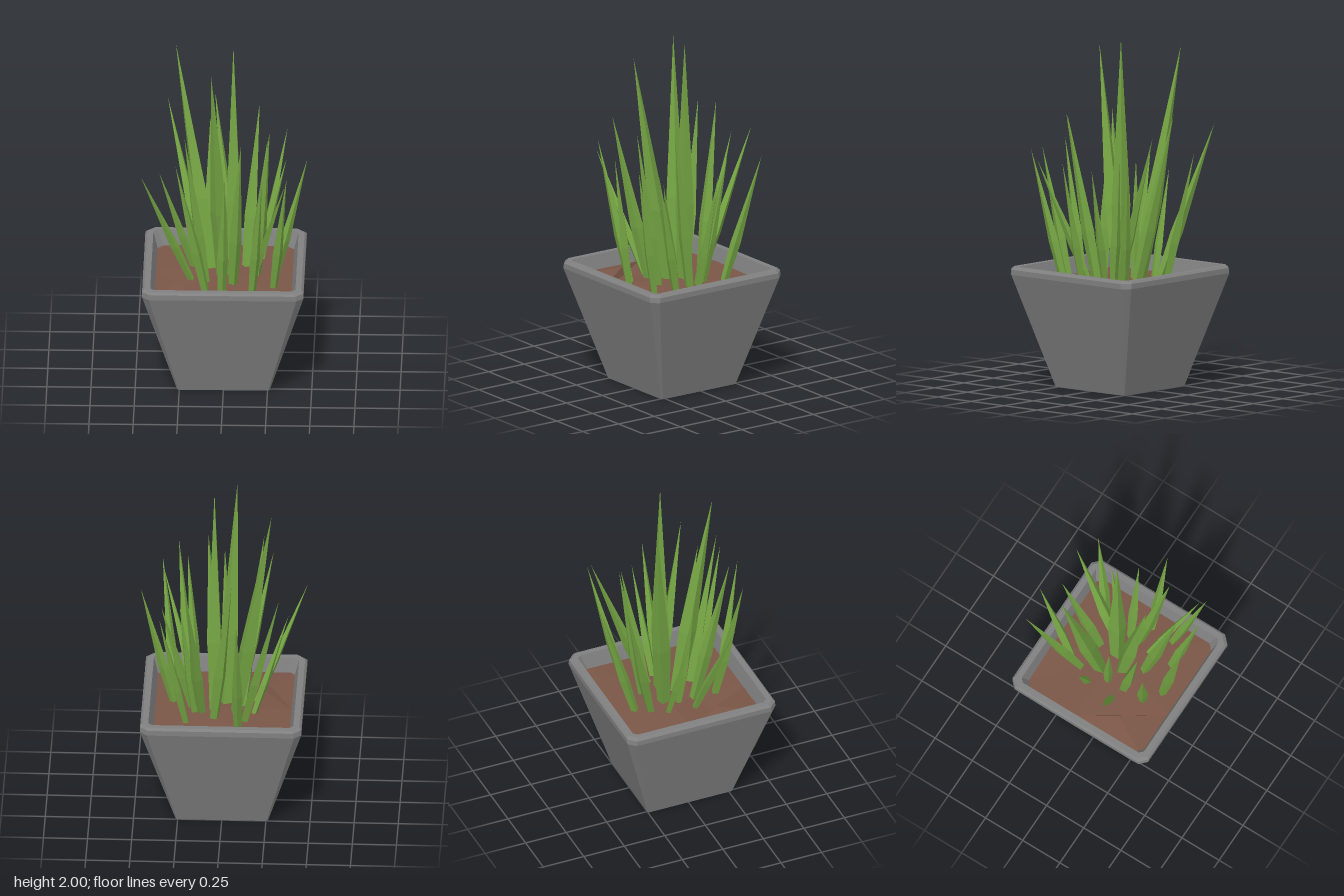
import * as THREE from 'three';

const potGrey = new THREE.MeshStandardMaterial({ color: 0x808080, flatShading: true, name: 'potGrey' });
const leafGreen = new THREE.MeshStandardMaterial({ color: 0x76a644, flatShading: true, name: 'leafGreen' });
const soilBrown = new THREE.MeshStandardMaterial({ color: 0x7a5647, flatShading: true, name: 'soilBrown', side: THREE.DoubleSide });

const POT_Z = 0.012;

function meshFrom(positions, indices, material, name) {
  const geometry = new THREE.BufferGeometry();
  geometry.setAttribute('position', new THREE.Float32BufferAttribute(positions, 3));
  geometry.setIndex(indices);
  const flat = geometry.toNonIndexed();
  flat.computeVertexNormals();
  const mesh = new THREE.Mesh(flat, material);
  mesh.name = name;
  return mesh;
}

// Square with cut corners: half width h, corner cut c
function cutSquare(y, h, c) {
  const k = h - c;
  return [[h, -k], [h, k], [k, h], [-k, h], [-h, k], [-h, -k], [-k, -h], [k, -h]]
    .flatMap(([x, z]) => [x, y, z + POT_Z]);
}

// Tapered pot: outer wall, bevelled rim, inner wall
function createPot() {
  const rings = [
    [0, 0.262, 0.008], [0.645, 0.457, 0.04], [0.675, 0.457, 0.045],
    [0.688, 0.445, 0.045], [0.688, 0.411, 0.022], [0.55, 0.372, 0.04],
  ];
  const positions = rings.flatMap((r) => cutSquare(...r));
  const indices = [];
  for (let r = 0; r < rings.length - 1; r++) {
    for (let i = 0; i < 8; i++) {
      const a = r * 8 + i, b = r * 8 + (i + 1) % 8;
      indices.push(a, a + 8, b, b, a + 8, b + 8);
    }
  }
  for (let i = 1; i < 7; i++) indices.push(0, i, i + 1); // underside
  return meshFrom(positions, indices, potGrey, 'pot');
}

// Uneven soil with a small raised clod in one corner
function createSoil() {
  const points = [
    [0.05, 0.615, -0.03],
    [0.39, 0.6, 0], [0.39, 0.6, 0.38], [0.36, 0.6, 0.405], [-0.11, 0.6, 0.405],
    [-0.25, 0.59, 0.17], [-0.39, 0.605, -0.04], [-0.39, 0.6, -0.36], [-0.37, 0.6, -0.385],
    [-0.1, 0.61, -0.385], [0.37, 0.6, -0.385], [0.39, 0.6, -0.36],
    [-0.268, 0.63, 0.172], [-0.39, 0.605, 0.405],
  ];
  const indices = [];
  for (let i = 1; i <= 11; i++) indices.push(0, (i % 11) + 1, i);
  indices.push(5, 6, 12, 5, 12, 4); // step
  indices.push(13, 12, 6, 13, 4, 12); // clod top
  return meshFrom(points.flat(), indices, soilBrown, 'soil');
}

// Four-sided blade: widens to a third of its length, then tapers to a point
function createLeaf([bx, bz, tx, tz, top]) {
  const bottom = 0.58, height = top - bottom;
  const radius = 0.002 + 0.036 * height;
  const lean = Math.hypot(tx - bx, tz - bz) > 0.01 ? Math.atan2(tz - bz, tx - bx) : Math.PI / 4;
  const positions = [];
  for (const [t, width] of [[0, 0.7], [0.33, 1]]) {
    for (let i = 0; i < 4; i++) {
      const a = lean + i * Math.PI / 2;
      positions.push(
        bx + (tx - bx) * t + Math.cos(a) * radius * width,
        bottom + height * t,
        bz + (tz - bz) * t + Math.sin(a) * radius * width);
    }
  }
  positions.push(tx, top, tz);
  const indices = [0, 1, 2, 0, 2, 3];
  for (let i = 0; i < 4; i++) {
    const n = (i + 1) % 4;
    indices.push(i, i + 4, n, n, i + 4, n + 4, i + 4, 8, n + 4);
  }
  return meshFrom(positions, indices, leafGreen, 'leaf');
}

export function createModel() {
  const model = new THREE.Group();
  model.name = 'pottedPlant';
  model.add(createPot(), createSoil());

  // Each leaf: base x, base z, tip x, tip z, tip height
  const leaves = [
    [0.05, -0.04, 0.05, -0.04, 2.0],
    [-0.09, -0.25, -0.09, -0.47, 1.37],
    [-0.12, -0.17, -0.33, -0.41, 1.51],
    [-0.07, -0.07, -0.28, -0.2, 1.94],
    [-0.17, -0.09, -0.37, -0.03, 1.21],
    [-0.11, 0, -0.19, 0.06, 1.27],
    [-0.18, 0.07, -0.47, 0.2, 1.29],
    [-0.1, 0.1, -0.22, 0.27, 1.56],
    [-0.01, 0.03, -0.07, 0.23, 1.93],
    [-0.1, 0.23, -0.27, 0.335, 1.42],
    [0.05, 0.14, 0.1, 0.33, 1.54],
    [-0.01, 0.3, 0.01, 0.42, 1.39],
    [0.16, 0.25, 0.22, 0.405, 1.36],
    [0.28, 0.18, 0.36, 0.365, 1.36],
    [0.15, 0.1, 0.35, 0.325, 1.3],
    [0.18, 0.02, 0.26, 0.18, 1.57],
    [0.17, -0.03, 0.35, -0.085, 1.28],
    [0.28, 0.04, 0.47, 0.03, 1.33],
    [0.2, -0.2, 0.35, -0.36, 1.35],
    [0.12, -0.08, 0.19, -0.405, 1.48],
    [0.05, -0.15, -0.06, -0.34, 1.58],
    [0.16, -0.08, 0.24, -0.2, 1.35],
  ];
  const foliage = new THREE.Group();
  foliage.name = 'leaves';
  leaves.forEach((leaf) => foliage.add(createLeaf(leaf)));
  model.add(foliage);
  return model;
}
